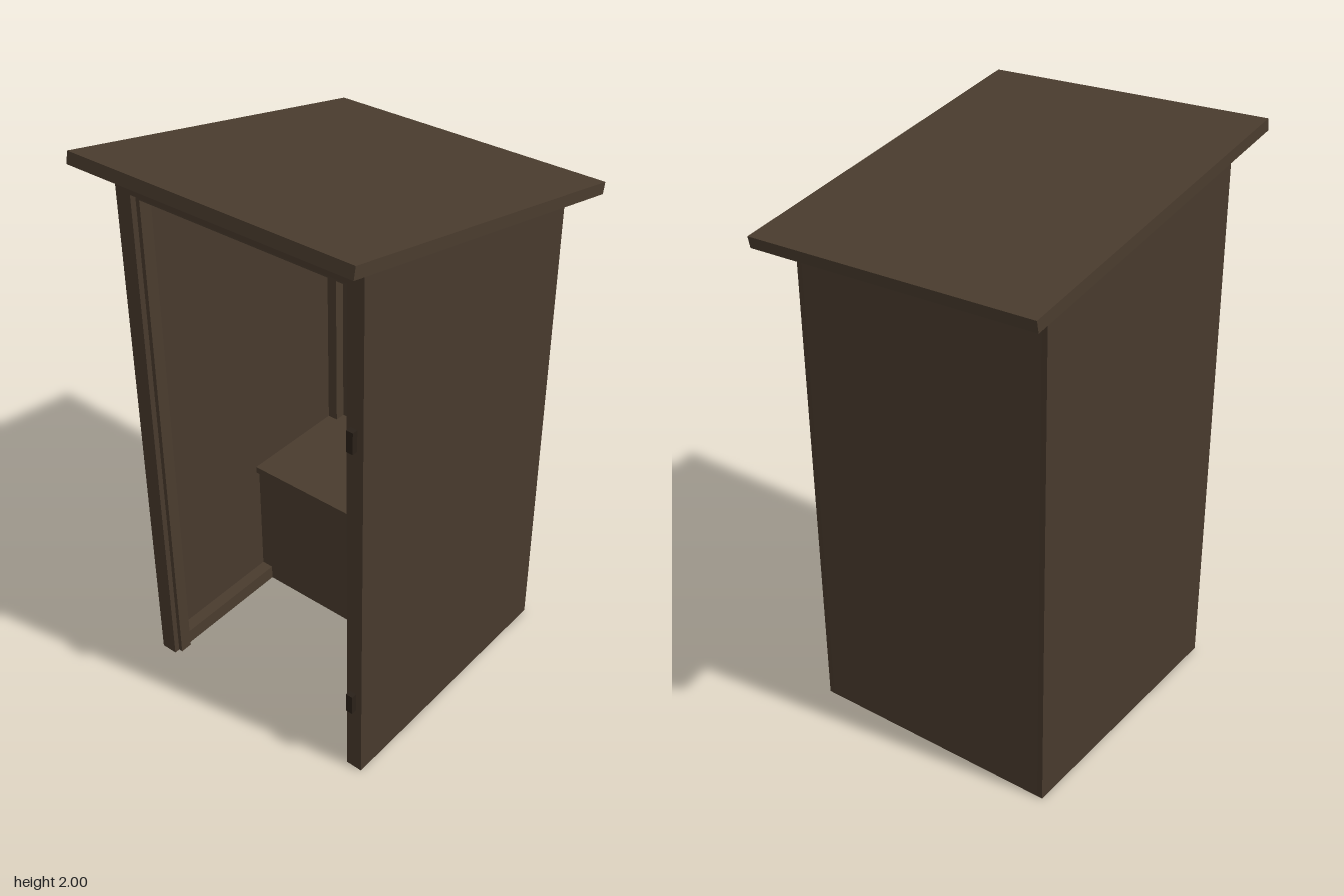
import * as THREE from 'three';

const wood = new THREE.MeshStandardMaterial({ name: 'brown wood', color: 0x4a3c2e });
const sideWood = new THREE.MeshStandardMaterial({ name: 'warm brown wood', color: 0x483a2d });
const iron = new THREE.MeshStandardMaterial({ name: 'dark hinge', color: 0x2a2119 });

const SLOPE = 0.198;
const roofUnder = z => 1.837 + SLOPE * z;

export function createModel() {
  const model = new THREE.Group();
  model.name = 'outhouse';

  const add = (name, geometry, material = wood) => {
    const mesh = new THREE.Mesh(geometry, material);
    mesh.name = name;
    model.add(mesh);
    return mesh;
  };
  // Box given by its limits on each axis
  const box = (name, [x0, x1], [y0, y1], [z0, z1], material) => {
    const g = new THREE.BoxGeometry(x1 - x0, y1 - y0, z1 - z0);
    g.translate((x0 + x1) / 2, (y0 + y1) / 2, (z0 + z1) / 2);
    return add(name, g, material);
  };
  // Side profile of [z, y] points, extruded along x
  const profile = (name, [x0, x1], points, material) => {
    const shape = new THREE.Shape(points.map(([z, y]) => new THREE.Vector2(-z, y)));
    const g = new THREE.ExtrudeGeometry(shape, { depth: x1 - x0, bevelEnabled: false });
    g.rotateY(Math.PI / 2).translate(x0, 0, 0);
    return add(name, g, material);
  };
  // Upright piece whose top is cut to the roof slope
  const upright = (name, xs, y0, [z0, z1], material) =>
    profile(name, xs, [[z0, y0], [z1, y0], [z1, roofUnder(z1)], [z0, roofUnder(z0)]], material);

  // Roof and the ceiling lining below it
  profile('roof', [-0.525, 0.525], [[0.625, 1.961], [0.617, 2], [-0.625, 1.754], [-0.617, 1.715]]);
  profile('ceiling', [-0.445, 0.445], [
    [0.485, roofUnder(0.485)], [-0.47, roofUnder(-0.47)],
    [-0.47, roofUnder(-0.47) - 0.045], [0.485, roofUnder(0.485) - 0.045],
  ]);

  // Back wall and its inner top rail
  upright('backWall', [-0.445, 0.445], 0, [-0.49, -0.47]);
  box('backRail', [-0.445, 0.445], [1.68, 1.72], [-0.47, -0.44]);

  // Side walls with their inner framing and the front boards
  for (const s of [-1, 1]) {
    const span = (a, b) => (s > 0 ? [a, b] : [-b, -a]);
    upright('sideWall', span(0.445, 0.465), 0, [-0.49, 0.485], sideWood);
    upright('frontBoard', span(0.405, 0.465), 0, [0.485, 0.505], sideWood);
    upright('frontPost', span(0.39, 0.445), 0, [0.44, 0.485]);
    upright('backPost', span(0.405, 0.445), 0.53, [-0.47, -0.43]);
    box('bottomRail', span(0.4, 0.445), [0, 0.055], [-0.03, 0.44]);
  }

  // Front header and the rail behind it
  upright('frontHeader', [-0.405, 0.405], 1.855, [0.485, 0.505], sideWood);
  upright('frontRail', [-0.39, 0.39], 1.835, [0.44, 0.485]);

  // Bench: floor plate, front panel and a seat board with a round hole
  box('benchFloor', [-0.445, 0.445], [0, 0.03], [-0.47, -0.045]);
  box('benchFront', [-0.445, 0.445], [0, 0.505], [-0.045, -0.025]);
  const seat = new THREE.Shape();
  seat.moveTo(-0.445, 0.01).lineTo(0.445, 0.01).lineTo(0.445, 0.47).lineTo(-0.445, 0.47);
  seat.closePath();
  const hole = new THREE.Path();
  hole.absarc(0, 0.25, 0.12, 0, Math.PI * 2, true);
  seat.holes.push(hole);
  const seatGeometry = new THREE.ExtrudeGeometry(seat, { depth: 0.025, bevelEnabled: false, curveSegments: 24 });
  seatGeometry.rotateX(-Math.PI / 2).translate(0, 0.505, 0);
  add('benchSeat', seatGeometry);

  // Hinges left on the door frame
  for (const y of [0.275, 1.325]) box('hinge', [0.418, 0.443], [y, y + 0.075], [0.505, 0.525], iron);

  return model;
}
